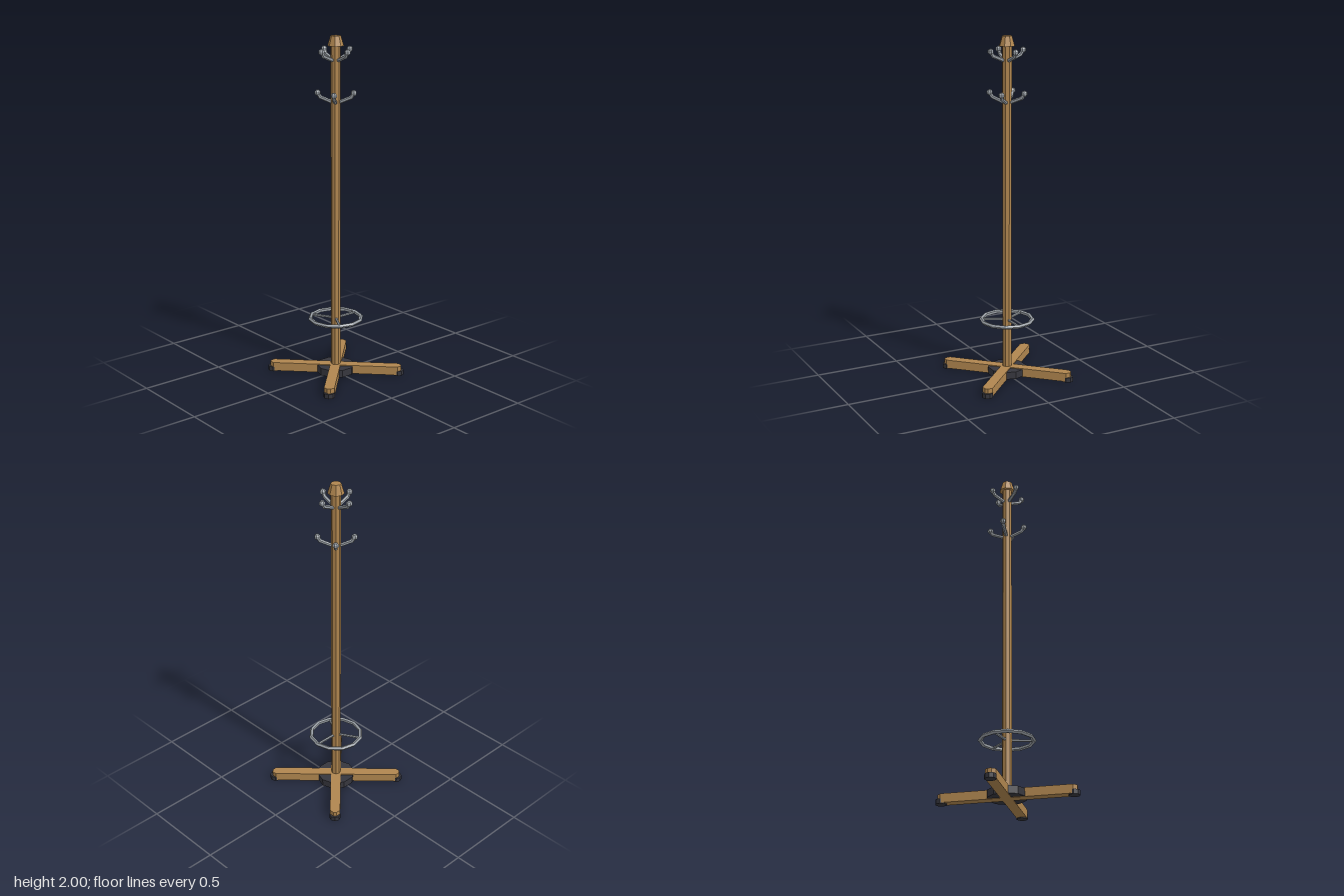
import * as THREE from 'three';

const mat = (name, color) => {
  const m = new THREE.MeshStandardMaterial({ color });
  m.name = name;
  return m;
};

export function createModel() {
  const root = new THREE.Group();
  root.name = 'coatStand';
  const wood = mat('wood', 0xb0864f);
  const steel = mat('steel', 0x989ea4);
  const rubber = mat('darkRubber', 0x36363d);
  for (const m of [wood, steel, rubber]) m.flatShading = true;

  const add = (name, geo, material, parent = root) => {
    const mesh = new THREE.Mesh(geo, material);
    mesh.name = name;
    parent.add(mesh);
    return mesh;
  };
  // Upright prism between two heights
  const post = (rTop, rBottom, y0, y1, sides) =>
    new THREE.CylinderGeometry(rTop, rBottom, y1 - y0, sides).translate(0, (y0 + y1) / 2, 0);
  // Straight rod between two points
  const rod = (a, b, r, sides) => {
    const d = b.clone().sub(a);
    const q = new THREE.Quaternion().setFromUnitVectors(new THREE.Vector3(0, 1, 0), d.clone().normalize());
    const mid = a.clone().add(b).multiplyScalar(0.5);
    return new THREE.CylinderGeometry(r, r, d.length(), sides)
      .rotateY(Math.PI / sides).applyQuaternion(q).translate(mid.x, mid.y, mid.z);
  };

  // Pole and tapered cap
  add('pole', post(0.028, 0.028, 0.02, 1.95, 8), wood);
  add('poleCap', post(0.029, 0.046, 1.943, 2, 8), wood);

  // Hub under the pole
  add('hub', post(0.1125, 0.1125, 0.007, 0.05, 10).rotateY(Math.PI / 2), rubber);

  // Four legs with clipped ends, each on a foot pad
  const L = 0.389, W = 0.03, C = 0.02;
  const outline = new THREE.Shape([
    [0, -W], [L - C, -W], [L, -W + C], [L, W - C], [L - C, W], [0, W],
  ].map(([x, y]) => new THREE.Vector2(x, y)));
  const legGeo = new THREE.ExtrudeGeometry(outline, { depth: 0.051, bevelEnabled: false })
    .rotateX(-Math.PI / 2).translate(0, 0.004, 0);
  const footGeo = post(0.033, 0.033, 0, 0.027, 8).rotateY(Math.PI / 4).translate(0.371, 0, 0);
  for (let i = 0; i < 4; i++) {
    const leg = new THREE.Group();
    leg.name = 'legAssembly';
    leg.rotation.y = Math.PI / 4 + i * Math.PI / 2;
    add('leg', legGeo, wood, leg);
    add('footPad', footGeo, rubber, leg);
    root.add(leg);
  }

  // Umbrella ring with three spokes
  const ringY = 0.342;
  add('umbrellaRing', new THREE.TorusGeometry(0.151, 0.012, 5, 12).rotateX(-Math.PI / 2).translate(0, ringY, 0), steel);
  const spokeGeo = rod(new THREE.Vector3(0.015, ringY, 0), new THREE.Vector3(0.148, ringY, 0), 0.008, 6);
  for (let i = 0; i < 3; i++) add('ringSpoke', spokeGeo, steel).rotation.y = i * Math.PI * 2 / 3;

  // Two tiers of four hooks, the lower tier turned by 45 degrees
  const knee = new THREE.Vector3(0.088, 0.03, 0);
  const tip = new THREE.Vector3(0.102, 0.055, 0);
  const armGeo = rod(new THREE.Vector3(0.015, 0, 0), knee, 0.011, 6);
  const riserGeo = rod(new THREE.Vector3(0.085, 0.026, 0), tip, 0.011, 6);
  const knobGeo = new THREE.SphereGeometry(0.018, 7, 5).translate(tip.x, tip.y, 0);
  for (const [y, turn] of [[1.861, 0], [1.624, Math.PI / 4]]) {
    for (let i = 0; i < 4; i++) {
      const hook = new THREE.Group();
      hook.name = 'hook';
      hook.position.y = y;
      hook.rotation.y = turn + i * Math.PI / 2;
      add('hookArm', armGeo, steel, hook);
      add('hookRiser', riserGeo, steel, hook);
      add('hookKnob', knobGeo, steel, hook);
      root.add(hook);
    }
  }
  return root;
}
